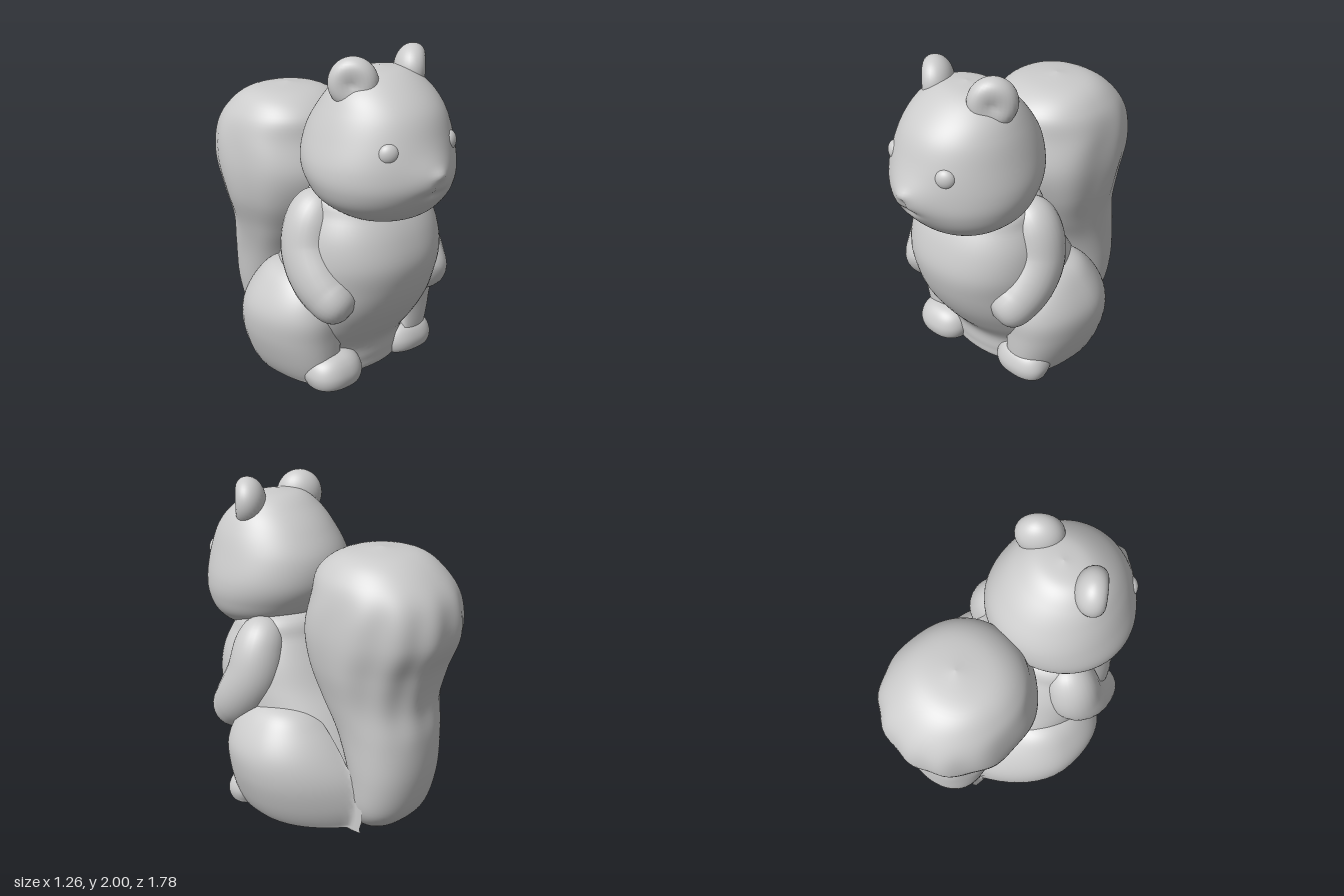
import * as THREE from 'three';
import { mergeVertices } from 'three/addons/utils/BufferGeometryUtils.js';

const material = new THREE.MeshStandardMaterial({ color: 0xcccccc, roughness: 0.8 });

// Rings [y, centreX, radiusX, frontZ, backZ] joined into a smooth skin; shape(v, angle) may move each point
function loft(rings, { power = 2, steps = 6, sides = 64, shape } = {}) {
  const centres = new THREE.CatmullRomCurve3(
    rings.map(([y, x, , f, b]) => new THREE.Vector3(x, y, (f + b) / 2)), false, 'catmullrom', 0.5);
  const radii = new THREE.CatmullRomCurve3(
    rings.map(([, , r, f, b]) => new THREE.Vector3(r, 0, (f - b) / 2)), false, 'catmullrom', 0.5);
  const rows = (rings.length - 1) * steps;
  const positions = [], index = [], v = new THREE.Vector3();
  const round = (c) => Math.sign(c) * Math.pow(Math.abs(c), 2 / power);
  for (let i = 0; i <= rows; i++) {
    const c = centres.getPoint(i / rows), r = radii.getPoint(i / rows);
    for (let j = 0; j < sides; j++) {
      const a = (j / sides) * Math.PI * 2;
      v.set(c.x + round(Math.cos(a)) * Math.max(r.x, 0), Math.max(c.y, 0), c.z + round(Math.sin(a)) * Math.max(r.z, 0));
      if (shape) shape(v, a);
      positions.push(v.x, v.y, v.z);
      if (i === rows) continue;
      const k = (j + 1) % sides, p = i * sides;
      index.push(p + j, p + j + sides, p + k, p + k, p + j + sides, p + k + sides);
    }
  }
  const geometry = new THREE.BufferGeometry();
  geometry.setAttribute('position', new THREE.Float32BufferAttribute(positions, 3));
  geometry.setIndex(index);
  geometry.computeVertexNormals();
  return geometry;
}

function smooth(geometry) {
  geometry.deleteAttribute('normal');
  geometry.deleteAttribute('uv');
  const merged = mergeVertices(geometry, 1e-4);
  merged.computeVertexNormals();
  return merged;
}

// Round-ended limb whose thickness follows radiusAt(t)
function limb(points, radiusAt) {
  const curve = new THREE.CatmullRomCurve3(points.map((p) => new THREE.Vector3(...p)));
  const rows = 48, sides = 28;
  const geometry = new THREE.TubeGeometry(curve, rows, 1, sides);
  const pos = geometry.attributes.position, v = new THREE.Vector3();
  for (let n = 0; n < pos.count; n++) {
    const t = Math.floor(n / (sides + 1)) / rows;
    const centre = curve.getPointAt(t);
    const r = radiusAt(t) * Math.sqrt(Math.max(0, 1 - Math.pow(2 * t - 1, 6)));
    v.fromBufferAttribute(pos, n).sub(centre).multiplyScalar(r).add(centre);
    pos.setXYZ(n, v.x, v.y, v.z);
  }
  return smooth(geometry);
}

// Soft bump of width w and height h around (x, y)
const bump = (v, x, y, w, h) => Math.exp(-(((v.x - x) / w) ** 2) - ((v.y - y) / h) ** 2);

export function createModel() {
  const model = new THREE.Group();
  model.name = 'squirrelFigurine';
  const add = (name, geometry, position = [0, 0, 0], scale = [1, 1, 1]) => {
    const mesh = new THREE.Mesh(geometry, material);
    mesh.name = name;
    mesh.position.set(...position);
    mesh.scale.set(...scale);
    model.add(mesh);
    return mesh;
  };
  const ball = () => new THREE.SphereGeometry(1, 32, 24);

  // Torso, starting at the rim of the opening in the base
  add('torso', loft([
    [0.004, 0, 0.25, 0.16, -0.35], [0, 0, 0.42, 0.34, -0.5], [0.08, 0, 0.45, 0.37, -0.52],
    [0.2, 0, 0.46, 0.39, -0.5], [0.35, 0, 0.47, 0.5, -0.45], [0.5, 0, 0.47, 0.595, -0.38],
    [0.65, 0, 0.46, 0.655, -0.3], [0.8, 0, 0.46, 0.68, -0.2], [0.95, 0, 0.44, 0.65, -0.12],
    [1.08, 0, 0.39, 0.59, -0.05], [1.2, 0, 0.32, 0.5, 0.02], [1.3, 0, 0, 0.26, 0.26],
  ], { power: 2.2 }));

  // Hollow in the base, facing inward
  add('baseHollow', loft([
    [0.27, 0, 0, -0.095, -0.095], [0.25, 0, 0.14, 0.04, -0.23],
    [0.15, 0, 0.23, 0.14, -0.33], [0.004, 0, 0.25, 0.16, -0.35],
  ]));

  // Head with full cheeks and a narrow crown; muzzle, nose and mouth are modelled into the front
  add('head', loft([
    [1.06, 0, 0, 0.5, 0.5], [1.085, 0, 0.23, 0.66, 0.3], [1.17, -0.005, 0.375, 0.76, 0.09],
    [1.28, -0.01, 0.435, 0.815, -0.01], [1.4, -0.01, 0.445, 0.82, -0.06], [1.55, -0.005, 0.405, 0.8, -0.05],
    [1.69, 0, 0.35, 0.745, 0.03], [1.8, 0, 0.28, 0.645, 0.13], [1.88, 0, 0.17, 0.52, 0.24],
    [1.905, 0, 0, 0.38, 0.38],
  ], {
    sides: 128,
    steps: 9,
    shape: (v, a) => {
      if (Math.sin(a) < 0) return;
      const x = -0.01;
      v.z += Math.sin(a) * (0.055 * bump(v, x, 1.37, 0.17, 0.12) + 0.018 * bump(v, x, 1.39, 0.045, 0.03)
        - 0.022 * bump(v, x, 1.27, 0.07, 0.025) - 0.015 * bump(v, x, 1.33, 0.02, 0.04));
    },
  }));

  // Bushy tail, leaning a little to one side, with faint grooves in the fur
  add('tail', loft([
    [0, 0, 0, -0.48, -0.48], [0.002, 0, 0.14, -0.38, -0.58], [0.03, 0, 0.2, -0.36, -0.645],
    [0.14, 0, 0.265, -0.34, -0.735], [0.35, -0.01, 0.3, -0.32, -0.785], [0.6, -0.02, 0.32, -0.22, -0.79],
    [0.8, -0.03, 0.35, -0.1, -0.77], [1.0, -0.045, 0.4, 0, -0.81], [1.2, -0.05, 0.42, 0.05, -0.885],
    [1.4, -0.05, 0.4, 0.0, -0.865], [1.54, -0.05, 0.345, -0.04, -0.77], [1.64, -0.05, 0.23, -0.18, -0.62],
    [1.675, -0.04, 0, -0.41, -0.41],
  ], {
    power: 2.15, sides: 120,
    shape: (v, a) => {
      const fade = THREE.MathUtils.smoothstep(v.y, 0.5, 1.0) * (1 - THREE.MathUtils.smoothstep(v.y, 1.3, 1.55));
      const wave = 0.006 * fade * Math.sin(9 * a + 3 * Math.cos(a) * v.y);
      v.x += Math.cos(a) * wave;
      v.z += Math.sin(a) * wave;
    },
  }));

  for (const s of [-1, 1]) {
    const side = s > 0 ? 'left' : 'right';

    // Haunch, curving inward toward the tail and kept clear of the hollow
    add(side + 'Haunch', loft([
      [0, s * 0.33, 0, -0.08, -0.08], [0.002, s * 0.33, 0.15, 0.31, -0.5], [0.03, s * 0.335, 0.19, 0.345, -0.53],
      [0.14, s * 0.345, 0.235, 0.37, -0.55], [0.3, s * 0.36, 0.265, 0.375, -0.5], [0.45, s * 0.36, 0.265, 0.375, -0.4],
      [0.59, s * 0.35, 0.21, 0.32, -0.28], [0.69, s * 0.34, 0.13, 0.2, -0.15], [0.73, s * 0.33, 0, 0.04, 0.04],
    ], {
      power: 2.3,
      shape: (v) => { v.x = s * Math.max(s * v.x - 0.95 * Math.min(v.z, 0) ** 2, 0.27); },
    }));

    // Foot, one set slightly further forward
    const toe = s > 0 ? 0.405 : 0.475;
    const footX = s > 0 ? 0.34 : -0.3;
    add(side + 'Foot', loft([
      [0, footX, 0, 0.3, 0.3], [0.002, footX, 0.135, toe - 0.05, 0.2], [0.025, footX, 0.165, toe - 0.01, 0.18],
      [0.09, footX, 0.18, toe, 0.15], [0.16, footX, 0.155, toe - 0.03, 0.15], [0.2, footX, 0.09, toe - 0.09, 0.18],
      [0.21, footX, 0, 0.26, 0.26],
    ], { power: 2.4 }));

    // Arm bending forward to a mitten hand
    add(side + 'Arm', limb([
      [s * 0.25, 1.19, 0.22], [s * 0.34, 1.03, 0.2], [s * 0.372, 0.86, 0.215],
      [s * 0.38, 0.71, 0.3], [s * 0.36, 0.6, 0.41], [s * 0.32, 0.54, 0.52],
    ], (t) => 0.135 + 0.04 * Math.sin(Math.PI * Math.min(0.8, t))));

    // Rounded ear with a shallow inner dish
    const earShape = ball();
    const p = earShape.attributes.position;
    for (let i = 0; i < p.count; i++) {
      const r = Math.hypot(p.getX(i), p.getY(i));
      if (p.getZ(i) > 0) p.setZ(i, p.getZ(i) * (0.5 + 0.5 * r));
    }
    const ear = add(side + 'Ear', smooth(earShape), [s * 0.222, s > 0 ? 1.855 : 1.84, 0.405], [0.14, 0.145, 0.11]);
    ear.rotation.set(0, s * 0.8, -s * 0.12);

    // Small raised eye
    const eye = add(side + 'Eye', ball(), [s > 0 ? 0.19 : -0.235, 1.515, s > 0 ? 0.73 : 0.705], [0.06, 0.06, 0.045]);
    eye.rotation.y = s * 0.5;
  }
  return model;
}
